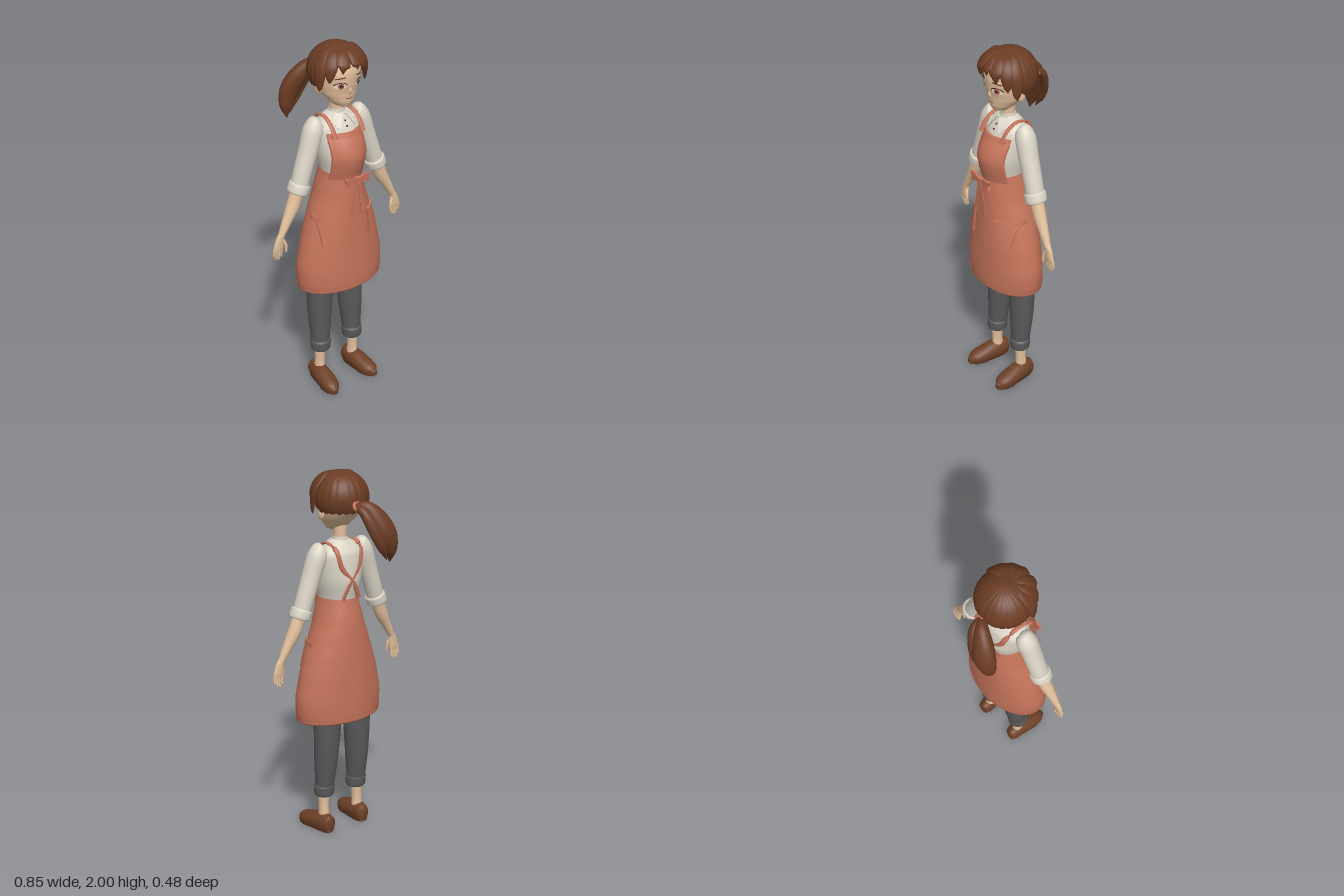
import * as THREE from 'three';

const mat = (name, color, open) => {
  const m = new THREE.MeshStandardMaterial({ color });
  m.name = name;
  if (open) m.side = THREE.DoubleSide;
  return m;
};

// Rings are [x, y, z, halfWidth, halfDepth]; torso, skirt and head are also sampled for fitted details
const TORSO = [[0, 1.24, .08, .095, .1], [0, 1.32, .08, .102, .11], [0, 1.42, .075, .122, .125], [0, 1.5, .065, .13, .11],
  [0, 1.57, .055, .13, .09], [0, 1.615, .055, .09, .062], [0, 1.64, .055, .045, .04]];
const SKIRT = [[0, .66, .078, .25, .157], [0, .7, .078, .258, .159], [0, .78, .077, .26, .158], [0, .9, .075, .237, .153],
  [0, 1, .074, .208, .148], [0, 1.1, .074, .173, .142], [0, 1.2, .075, .138, .134], [0, 1.33, .082, .105, .116]];
const HEAD = [[0, 1.68, .105, .02, .025], [0, 1.69, .1, .045, .048], [0, 1.72, .085, .075, .073], [0, 1.76, .066, .102, .096],
  [0, 1.81, .052, .117, .12], [0, 1.87, .047, .124, .128], [0, 1.93, .047, .1, .105], [0, 1.97, .047, .04, .05]];

// Front z of a ringed body at (x, y)
function frontZ(rings, x, y) {
  let i = 0;
  while (i < rings.length - 2 && rings[i + 1][1] < y) i++;
  const p = rings[i], q = rings[i + 1], t = THREE.MathUtils.clamp((y - p[1]) / (q[1] - p[1]), 0, 1);
  const [c, a, b] = [2, 3, 4].map(k => p[k] + (q[k] - p[k]) * t);
  return c + b * Math.sqrt(Math.max(0, 1 - (x / a) ** 2));
}

// Smooth skin through elliptical rings; flat keeps every ring horizontal
function loft(rings, { flat = false, ref = [0, 0, 1], cap = true, segs = 28, sub = 5 } = {}) {
  const path = new THREE.CatmullRomCurve3(rings.map(r => new THREE.Vector3(r[0], r[1], r[2])));
  const size = new THREE.CatmullRomCurve3(rings.map(r => new THREE.Vector3(r[3], r[4], 0)), false, 'catmullrom', .4);
  const n = (rings.length - 1) * sub, pos = [], idx = [];
  const add = v => pos.push(v.x, v.y, v.z) / 3 - 1;
  const loop = [];
  for (let i = 0; i <= n; i++) {
    const c = path.getPoint(i / n), s = size.getPoint(i / n);
    const T = flat ? new THREE.Vector3(0, 1, 0) : path.getTangent(i / n);
    const B = new THREE.Vector3(...ref).addScaledVector(T, -T.dot(new THREE.Vector3(...ref))).normalize();
    const A = T.clone().cross(B);
    loop.push([]);
    for (let j = 0; j < segs; j++) {
      const th = j / segs * Math.PI * 2;
      const v = c.clone().addScaledVector(B, Math.max(s.y, .0005) * Math.cos(th)).addScaledVector(A, Math.max(s.x, .0005) * Math.sin(th));
      loop[i].push(v);
      add(v);
    }
  }
  for (let i = 0; i < n; i++) for (let j = 0; j < segs; j++) {
    const k = (j + 1) % segs, a = i * segs + j, b = i * segs + k;
    idx.push(a, b, b + segs, a, b + segs, a + segs);
  }
  if (cap) for (const end of [0, n]) {
    const c = add(path.getPoint(end / n)), start = c + 1;
    loop[end].forEach(add);
    for (let j = 0; j < segs; j++) {
      const p = start + j, q = start + (j + 1) % segs;
      end ? idx.push(c, p, q) : idx.push(c, q, p);
    }
  }
  const g = new THREE.BufferGeometry();
  g.setAttribute('position', new THREE.Float32BufferAttribute(pos, 3));
  g.setIndex(idx);
  g.computeVertexNormals();
  return g;
}

// Move every vertex by a rule
function bend(g, rule) {
  const p = g.attributes.position, v = new THREE.Vector3();
  for (let i = 0; i < p.count; i++) {
    rule(v.fromBufferAttribute(p, i));
    p.setXYZ(i, v.x, v.y, v.z);
  }
  g.computeVertexNormals();
  return g;
}

function plate(points, depth) {
  return new THREE.ExtrudeGeometry(new THREE.Shape(points.map(p => new THREE.Vector2(...p))), { depth, bevelEnabled: false });
}

export function createModel() {
  const M = {
    skin: mat('skin', 0xe3c09c), hair: mat('hair', 0x6b3c24, true), cream: mat('shirt cream', 0xdbd4c6, true),
    apron: mat('apron terracotta', 0xc4735a, true), pants: mat('trouser grey', 0x5a5959), shoe: mat('shoe brown', 0x6e4128),
    white: mat('eye white', 0xf0e6dc, true), iris: mat('iris red', 0xa8584a, true), dark: mat('dark brown', 0x38201a, true)
  };
  const model = new THREE.Group();
  const part = (name, g, m) => {
    const mesh = new THREE.Mesh(g, m);
    mesh.name = name;
    model.add(mesh);
    return mesh;
  };

  // Body core
  part('shirt', loft(TORSO, { flat: true, segs: 40 }), M.cream);
  part('neck', loft([[0, 1.58, .055, .036, .036], [0, 1.65, .055, .035, .035], [0, 1.75, .055, .038, .038]], { flat: true }), M.skin);
  part('hips', loft([[0, .8, .05, .15, .07], [0, 1, .06, .15, .1], [0, 1.25, .075, .09, .09]], { flat: true }), M.pants);

  // Apron skirt, hem, bib
  part('skirt', loft(SKIRT, { flat: true, cap: false, segs: 56 }), M.apron);
  part('hem', loft([[0, .655, .078, .247, .154], [0, .662, .078, .255, .161], [0, .678, .078, .258, .162]], { flat: true, cap: false, segs: 56 }), M.apron);
  const bibLine = new THREE.SplineCurve([[1.3, .196], [1.36, .212], [1.43, .22], [1.49, .2], [1.55, .167]].map(p => new THREE.Vector2(...p)));
  const bibZ = (x, y) => bibLine.getPoint(THREE.MathUtils.clamp((y - 1.3) / .25, 0, 1)).y - 5 * x * x;
  part('bib', bend(new THREE.BoxGeometry(.216, .25, .012, 14, 14, 1), v => { v.y += 1.425; v.z += bibZ(v.x, v.y); }), M.apron);
  part('bibHem', bend(new THREE.BoxGeometry(.218, .016, .018, 14, 1, 1), v => { v.y += 1.54; v.z += bibZ(v.x, v.y); }), M.apron);

  // Bow
  for (const s of [1, -1]) {
    const tri = [[0, 1.31], [.045, 1.325], [.082, 1.325], [.07, 1.3], [.08, 1.278], [.04, 1.285], [0, 1.295]];
    part('bowLoop', plate(tri.map(([x, y]) => [s * x, y]), .014), M.apron).position.z = .224;
    const tail = [[0, 1.3], [.014, 1.29], [.052, 1.115], [.038, 1.12], [.024, 1.1]];
    part('bowTail', plate(tail.map(([x, y]) => [s * x, y]), .004), M.apron).position.z = .234;
  }
  part('bowKnot', new THREE.BoxGeometry(.03, .034, .024), M.apron).position.set(0, 1.303, .231);

  for (const s of [1, -1]) {
    // Pocket with flap
    for (const [w, h, y, d] of [[.09, .15, 1.015, .014], [.096, .025, 1.083, .022]])
      part('pocket', bend(new THREE.BoxGeometry(w, h, d, 8, 10, 1), v => {
        v.x += s * .135; v.y += y; v.z += frontZ(SKIRT, v.x, v.y) + .004;
      }), M.apron);

    // Strap over the shoulder, crossing the back
    part('strap', loft([[s * .088, 1.53, .166, .013, .006], [s * .088, 1.59, .128, .013, .006], [s * .086, 1.626, .06, .013, .006],
      [s * .08, 1.595, -.018, .013, .006], [s * .055, 1.5, -.036, .013, .006], [-s * .02, 1.4, -.046, .013, .006],
      [-s * .052, 1.33, -.036, .013, .006]], { ref: [0, .6, 1], segs: 8 }), M.apron);
    const button = part('strapButton', new THREE.SphereGeometry(.009, 12, 8), M.apron);
    button.position.set(s * .088, 1.54, .142);

    // Collar flap
    const flap = [[.006, 1.634], [.04, 1.64], [.078, 1.605], [.05, 1.568], [.03, 1.6]];
    part('collar', bend(plate(flap.map(([x, y]) => [s * x, y]), .008), v => { v.z += frontZ(TORSO, v.x, v.y) + .006; }), M.cream);

    // Sleeve, rolled cuff, forearm
    part('sleeve', loft([[s * .115, 1.615, .055, .012, .015], [s * .128, 1.605, .055, .04, .04], [s * .15, 1.56, .056, .053, .054],
      [s * .185, 1.46, .06, .05, .052], [s * .22, 1.36, .062, .048, .05], [s * .25, 1.27, .065, .046, .048]]), M.cream);
    part('cuff', loft([[s * .241, 1.295, .065, .05, .051], [s * .244, 1.288, .065, .056, .057], [s * .258, 1.252, .066, .056, .057],
      [s * .261, 1.244, .066, .05, .051]], { sub: 3 }), M.cream);
    part('forearm', loft([[s * .255, 1.27, .066, .036, .036], [s * .29, 1.18, .068, .036, .034], [s * .335, 1.1, .072, .026, .025],
      [s * .37, 1.035, .075, .018, .018]]), M.skin);

    // Hand with fingers and thumb
    part('palm', loft([[s * .368, 1.045, .075, .016, .016], [s * .38, 1.01, .075, .026, .014], [s * .39, .965, .075, .03, .012],
      [s * .392, .95, .075, .026, .009]], { segs: 16 }), M.skin);
    for (let i = 0; i < 4; i++) {
      const x = s * (.369 + i * .015), end = .905 - [.002, .014, .01, -.008][i];
      part('finger', loft([[x, .965, .075, .008, .009], [x + s * .003, .935, .073, .0075, .008], [x + s * .002, end + .006, .069, .006, .007],
        [x, end, .068, .001, .001]], { segs: 8, sub: 3 }), M.skin);
    }
    part('thumb', loft([[s * .365, 1.01, .08, .009, .009], [s * .352, .98, .086, .009, .009], [s * .351, .94, .088, .006, .006],
      [s * .352, .932, .088, .001, .001]], { segs: 8, sub: 3 }), M.skin);

    // Trouser leg, rolled cuff, ankle, shoe
    part('trouserLeg', loft([[s * .085, .95, .045, .08, .075], [s * .098, .66, .04, .079, .07], [s * .105, .45, .045, .067, .065],
      [s * .11, .24, .058, .05, .05]], { flat: false }), M.pants);
    part('trouserCuff', loft([[s * .11, .208, .06, .05, .049], [s * .11, .215, .06, .055, .054], [s * .11, .262, .059, .058, .057],
      [s * .11, .272, .058, .051, .051]], { flat: true, sub: 3 }), M.pants);
    part('ankle', loft([[s * .115, .06, .055, .03, .034], [s * .115, .14, .058, .027, .03], [s * .113, .25, .06, .033, .035]], { flat: true }), M.skin);
    const shoe = loft([[s * .115, .05, -.014, .012, .025], [s * .116, .05, -.004, .034, .045], [s * .118, .048, .04, .044, .055],
      [s * .123, .044, .09, .048, .054], [s * .13, .036, .15, .05, .044], [s * .137, .027, .205, .041, .034], [s * .142, .02, .24, .012, .012]],
      { ref: [0, 1, 0] });
    part('shoe', bend(shoe, v => { v.y = v.y < .018 ? 0 : v.y; }), M.shoe);

    // Ear
    const ear = part('ear', new THREE.SphereGeometry(1, 16, 12), M.skin);
    ear.scale.set(.014, .034, .022);
    ear.position.set(s * .118, 1.785, .06);

    // Eye and brow
    const onFace = (name, g, m, x, y, off) => part(name, bend(g, v => { v.x += s * x; v.y += y; v.z += frontZ(HEAD, v.x, v.y) + off; }), m);
    onFace('eyeWhite', new THREE.CircleGeometry(1, 24).scale(.029, .017, 1), M.white, .055, 1.812, .003);
    onFace('iris', new THREE.CircleGeometry(1, 20).scale(.014, .016, 1), M.iris, .054, 1.812, .005);
    onFace('pupil', new THREE.CircleGeometry(.0065, 14), M.dark, .054, 1.812, .007);
    onFace('lash', new THREE.RingGeometry(.88, 1.06, 16, 1, .25, Math.PI - .5).scale(.031, .02, 1), M.dark, .055, 1.811, .006);
    onFace('brow', new THREE.BoxGeometry(.046, .005, .003, 6, 1, 1).rotateZ(-s * .15), M.hair, .056, 1.853, .003);
  }
  part('collarBand', new THREE.CylinderGeometry(.041, .046, .03, 28, 1, true), M.cream).position.set(0, 1.64, .055);
  for (const y of [1.6, 1.575]) {
    const b = part('shirtButton', new THREE.SphereGeometry(.005, 10, 8), M.dark);
    b.position.set(0, y, frontZ(TORSO, 0, y) + .002);
  }

  // Head, nose and mouth
  part('head', loft(HEAD, { flat: true, segs: 40 }), M.skin);
  part('nose', loft([[0, 1.8, .162, .006, .004], [0, 1.78, .166, .008, .01], [0, 1.768, .158, .009, .012], [0, 1.763, .15, .004, .004]], { flat: false, segs: 12 }), M.skin);
  part('mouth', bend(new THREE.BoxGeometry(.038, .005, .003, 8, 1, 1), v => {
    v.y += 1.735 + 8 * v.x * v.x; v.z += frontZ(HEAD, v.x, v.y) + .003;
  }), M.iris);

  // Hair cap: hairline high in front, low and jagged behind, with shallow grooves
  const cap = new THREE.SphereGeometry(1, 96, 28, 0, Math.PI * 2, 0, 1);
  part('hairCap', bend(cap, v => {
    const t = Math.acos(Math.min(1, v.y)), az = Math.atan2(v.x, v.z), f = (1 + Math.cos(az)) / 2;
    const groove = Math.abs(Math.sin(az * 11));
    const th = t * (2.1 - 1.1 * THREE.MathUtils.smoothstep(f, .5, .95) - .06 * (1 - groove));
    const r = 1 - .03 * (1 - groove) ** 3 * Math.sin(th);
    v.set(Math.sin(th) * Math.sin(az) * .147 * r, 1.86 + Math.cos(th) * .14 * r, .046 + Math.sin(th) * Math.cos(az) * .146 * r);
  }), M.hair);

  // Bang locks fanning from the crown: [tip x, tip y, tip z, half width]
  for (const [x, y, z, w] of [[-.142, 1.785, .1, .036], [-.112, 1.835, .145, .036], [-.06, 1.885, .185, .036], [.02, 1.895, .196, .032],
    [.072, 1.865, .178, .036], [.118, 1.825, .14, .036], [.142, 1.78, .1, .036]]) {
    part('bangLock', loft([[x * .2, 1.985, .085, .012, .008], [x * .62, 1.965, .05 + (z - .05) * .72, w * .85, .012],
      [x * .93, 1.915 + (y - 1.84) * .2, .05 + (z - .05) * .98, w, .013], [x, y + .03, z + .002, w * .55, .009], [x, y, z, .002, .002]],
      { ref: [x, .06, z - .05], segs: 14 }), M.hair);
  }

  // Ponytail and tie
  const tie = part('hairTie', new THREE.TorusGeometry(.022, .009, 10, 20), M.apron);
  tie.position.set(.01, 1.832, -.105);
  tie.rotation.x = .5;
  part('ponytail', loft([[.01, 1.835, -.09, .018, .018], [-.03, 1.825, -.13, .036, .034], [-.075, 1.765, -.165, .056, .045],
    [-.11, 1.69, -.19, .062, .046], [-.135, 1.61, -.192, .042, .034], [-.14, 1.54, -.182, .003, .003]], { ref: [.3, .2, 1] }), M.hair);
  part('ponytailLock', loft([[.015, 1.835, -.095, .016, .014], [.005, 1.805, -.15, .024, .02], [-.03, 1.72, -.192, .034, .022],
    [-.07, 1.63, -.205, .026, .018], [-.11, 1.555, -.195, .002, .002]], { ref: [-.2, .2, 1] }), M.hair);
  return model;
}
